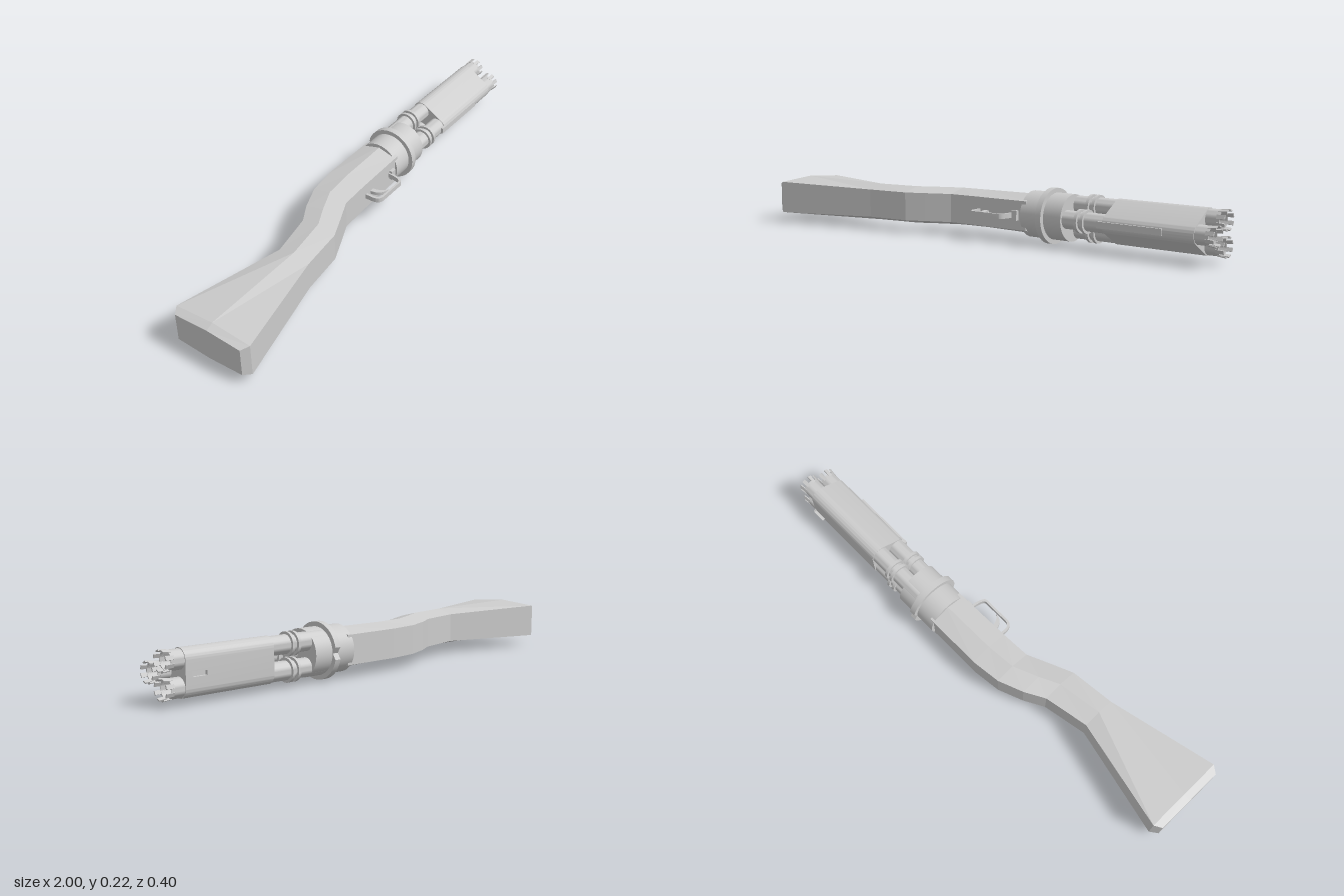
import * as THREE from 'three';
import { toCreasedNormals } from 'three/addons/utils/BufferGeometryUtils.js';

const CY = 0.112, CZ = -0.092; // axis of the collar
const BARRELS = [[-0.045, 0.112], [-0.125, 0.064], [-0.125, 0.16]]; // z, y

export function createModel() {
  const group = new THREE.Group();
  const smooth = new THREE.MeshStandardMaterial({ color: 0xcccccc });
  const flat = new THREE.MeshStandardMaterial({ color: 0xcccccc, flatShading: true });

  const add = (name, geo, mat = smooth, parent = group) => {
    const mesh = new THREE.Mesh(geo, mat);
    mesh.name = name;
    parent.add(mesh);
    return mesh;
  };
  const box = (name, x0, x1, y0, y1, z0, z1) =>
    add(name, new THREE.BoxGeometry(x1 - x0, y1 - y0, z1 - z0), flat)
      .position.set((x0 + x1) / 2, (y0 + y1) / 2, (z0 + z1) / 2);
  // Shape drawn in (-z, y), extruded along x
  const alongX = (shape, x0, x1) => {
    const g = new THREE.ExtrudeGeometry(shape, { depth: x1 - x0, bevelEnabled: false, curveSegments: 24 });
    g.rotateY(Math.PI / 2).translate(x0, 0, 0);
    return toCreasedNormals(g, 0.5);
  };
  // Profile of [radius, x] turned about an x-parallel axis
  const turned = (profile, segments = 32) => {
    const g = new THREE.LatheGeometry(profile.map(p => new THREE.Vector2(...p)), segments);
    return toCreasedNormals(g.rotateZ(-Math.PI / 2), 0.5);
  };

  // Stock: hexagonal sections [x, zTop, zBottom, half width at flats, half width at ridge]
  const sections = [
    [-1, -0.11, 0.18, 0.058, 0.066], [-0.97, -0.13, 0.2, 0.067, 0.08],
    [-0.53, -0.035, 0.1, 0.058, 0.077], [-0.35, -0.07, 0.08, 0.058, 0.077],
    [-0.27, -0.115, 0.045, 0.058, 0.077], [-0.17, -0.155, 0, 0.058, 0.077],
    [-0.05, -0.17, -0.006, 0.058, 0.077], [0.2, -0.17, -0.012, 0.058, 0.08],
  ];
  const positions = [], index = [], n = 6;
  for (const [x, a, b, w, W] of sections) {
    const m = (a + b) / 2;
    for (const [y, z] of [[w, a], [W, m], [w, b], [-w, b], [-W, m], [-w, a]]) positions.push(x, CY + y, z);
  }
  for (let i = 0; i < sections.length - 1; i++) {
    for (let j = 0; j < n; j++) {
      const a = i * n + j, b = i * n + (j + 1) % n;
      index.push(a, b, b + n, a, b + n, a + n);
    }
  }
  const last = (sections.length - 1) * n;
  for (let j = 1; j < n - 1; j++) index.push(0, j + 1, j, last, last + j, last + j + 1);
  const stock = new THREE.BufferGeometry();
  stock.setAttribute('position', new THREE.Float32BufferAttribute(positions, 3));
  stock.setIndex(index);
  stock.computeVertexNormals();
  add('stock', stock, flat);

  // Collar joining stock and barrels
  add('collar', turned([[0, 0.18], [0.092, 0.18], [0.092, 0.37], [0, 0.37]], 48)).position.set(0, CY, CZ);

  // Flange with the V notch of the rear sight
  const flange = new THREE.Shape();
  const notch = 0.21;
  flange.absarc(-CZ, CY, 0.11, notch, Math.PI * 2 - notch, false);
  flange.lineTo(0.185, CY);
  flange.closePath();
  add('rearSightFlange', alongX(flange, 0.265, 0.29));

  // Barrels with bands and crowned muzzles
  BARRELS.forEach(([z, y], k) => {
    const barrel = new THREE.Group();
    barrel.name = 'barrel' + (k + 1);
    barrel.position.set(0, y, z);
    group.add(barrel);
    add('barrelTube', turned([[0.036, 0.3], [0.036, 0.978], [0.032, 0.978], [0.032, 0.9], [0, 0.9]]), smooth, barrel);
    for (const x of [0.435, 0.462]) {
      add('barrelBand', turned([[0.034, x - 0.006], [0.046, x - 0.006], [0.046, x + 0.006], [0.034, x + 0.006]]), smooth, barrel);
    }
    for (let i = 0; i < 8; i++) {
      const tooth = new THREE.BoxGeometry(0.034, 0.005, 0.015);
      tooth.rotateZ(0.1).translate(0.983, 0.0355, 0).rotateX((i + 0.5) * Math.PI / 4);
      add('muzzleTooth', tooth, flat, barrel);
    }
  });

  // Shroud wrapped round the three barrels
  const shroud = new THREE.Shape();
  const turn = Math.atan2(0.08, -0.048);
  const spans = [[turn, 2 * Math.PI - turn], [-turn, 0], [0, turn]];
  BARRELS.forEach(([z, y], k) => shroud.absarc(-z, y, 0.039, ...spans[k], false));
  shroud.closePath();
  add('barrelShroud', alongX(shroud, 0.55, 0.925));

  // Strip under the shroud and front sight on top
  box('shroudStrip', 0.53, 0.8, 0.1, 0.125, -0.03, -0.001);
  box('frontSight', 0.85, 0.905, 0.104, 0.12, -0.17, -0.182);

  // Trigger guard and trigger, drawn in (x, z) and extruded through y
  const throughY = (shape, width) => {
    const g = new THREE.ExtrudeGeometry(shape, { depth: width, bevelEnabled: false, curveSegments: 10 });
    return toCreasedNormals(g.rotateX(Math.PI / 2).translate(0, CY + width / 2, 0), 0.5);
  };
  const guard = new THREE.Shape();
  guard.moveTo(-0.032, -0.02);
  guard.lineTo(-0.032, 0.025);
  guard.quadraticCurveTo(-0.03, 0.06, 0, 0.06);
  guard.lineTo(0.115, 0.06);
  guard.quadraticCurveTo(0.14, 0.06, 0.145, -0.02);
  guard.lineTo(0.135, -0.02);
  guard.quadraticCurveTo(0.132, 0.051, 0.112, 0.051);
  guard.lineTo(0, 0.051);
  guard.quadraticCurveTo(-0.022, 0.05, -0.022, 0.025);
  guard.lineTo(-0.022, -0.02);
  guard.closePath();
  add('triggerGuard', throughY(guard, 0.02));
  const trigger = new THREE.Shape();
  trigger.moveTo(0, -0.02);
  trigger.quadraticCurveTo(0, 0.045, 0.05, 0.046);
  trigger.quadraticCurveTo(0.02, 0.03, 0.02, -0.02);
  trigger.closePath();
  add('trigger', throughY(trigger, 0.014));
  box('guardMount', 0.14, 0.165, 0.092, 0.132, -0.03, 0.003);

  return group;
}
